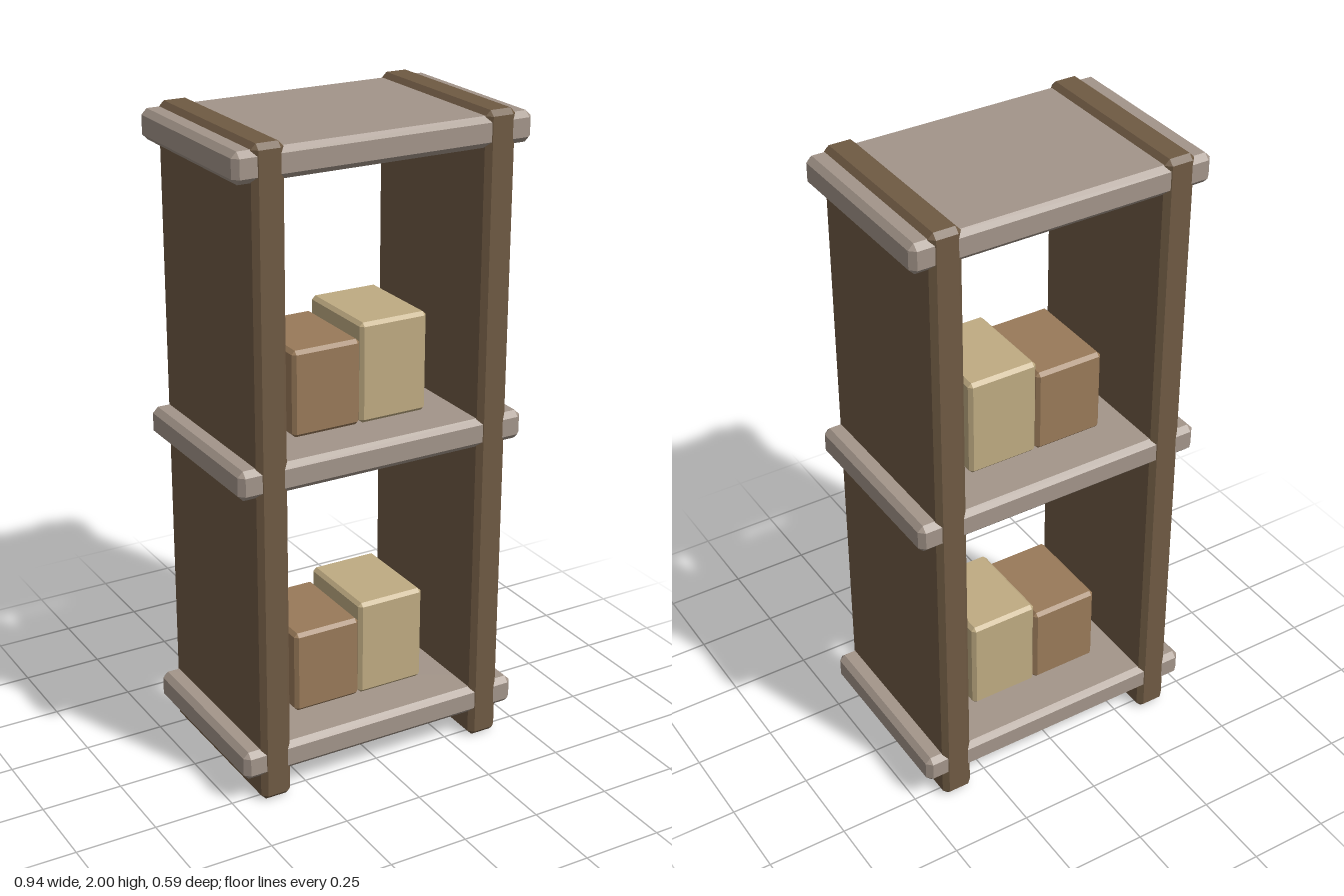
import * as THREE from 'three';
import { ConvexGeometry } from 'three/addons/geometries/ConvexGeometry.js';

const material = (color) => new THREE.MeshStandardMaterial({ color, flatShading: true });

// Box with every edge and corner cut at an angle: three face corners per box corner.
function chamferBox(w, h, d, c) {
  const points = [];
  for (const sx of [-1, 1]) for (const sy of [-1, 1]) for (const sz of [-1, 1]) {
    const x = w / 2, y = h / 2, z = d / 2;
    points.push(
      new THREE.Vector3(sx * x, sy * (y - c), sz * (z - c)),
      new THREE.Vector3(sx * (x - c), sy * y, sz * (z - c)),
      new THREE.Vector3(sx * (x - c), sy * (y - c), sz * z)
    );
  }
  return new ConvexGeometry(points);
}

export function createModel() {
  const model = new THREE.Group();
  model.name = 'shelfUnit';

  const darkWood = material(0x6f5a43);
  const greyWood = material(0xa3958a);
  const brownCard = material(0x997a59);
  const paleCard = material(0xbfab82);

  const add = (name, geometry, mat, x, y) => {
    const mesh = new THREE.Mesh(geometry, mat);
    mesh.name = name;
    mesh.position.set(x, y, 0);
    model.add(mesh);
  };

  // Side panels, standing a hair proud of the boards
  const panel = chamferBox(0.098, 2, 0.588, 0.016);
  add('leftPanel', panel, darkWood, 0.367, 1);
  add('rightPanel', panel, darkWood, -0.367, 1);

  // Three boards running through the panels
  const board = chamferBox(0.944, 0.09, 0.584, 0.017);
  const boardHeights = [0.13, 1.035, 1.94];
  boardHeights.forEach((y, i) => add(['bottomBoard', 'middleBoard', 'topBoard'][i], board, greyWood, 0, y));

  // A pair of boxes on each of the lower two boards
  const brownBox = chamferBox(0.222, 0.265, 0.3, 0.011);
  const paleBox = chamferBox(0.224, 0.31, 0.3, 0.011);
  for (const y of boardHeights.slice(0, 2)) {
    const base = y + 0.047;
    add('brownBox', brownBox, brownCard, -0.114, base + 0.1325);
    add('paleBox', paleBox, paleCard, 0.11, base + 0.155);
  }

  return model;
}
